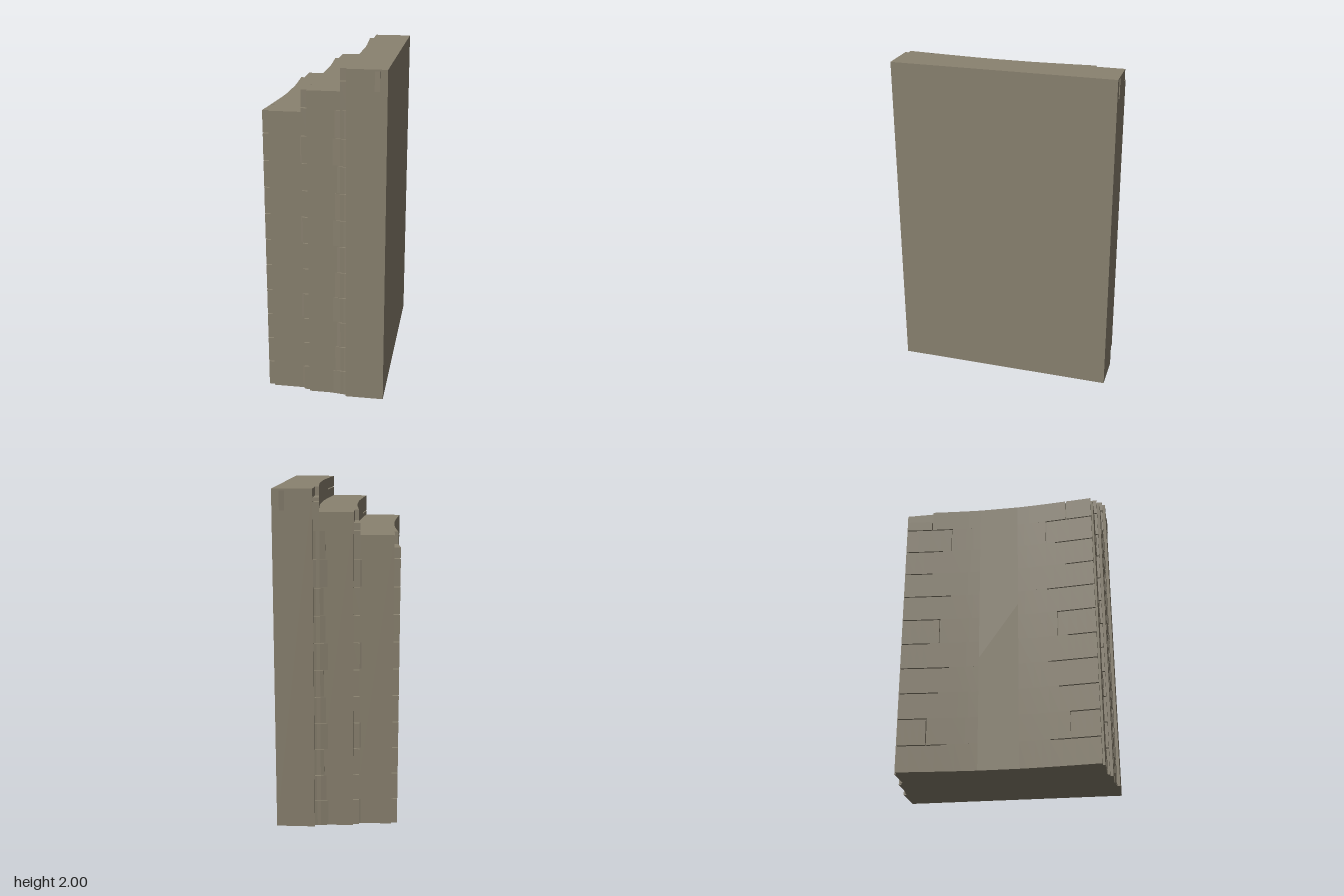
import * as THREE from 'three';

export function createModel() {
  const model = new THREE.Group();
  const stone = new THREE.MeshStandardMaterial({ color: 0x8a8270 });
  stone.name = 'weathered stone';

  const COURSE = 0.161, GAP = 0.006, CURVE_START = 0.12;

  const add = (parent, geometry, name) => {
    const mesh = new THREE.Mesh(geometry, stone);
    mesh.name = name;
    parent.add(mesh);
  };

  const box = (parent, name, x0, x1, y0, y1, z0, z1) => {
    const g = new THREE.BoxGeometry(x1 - x0, y1 - y0, z1 - z0);
    g.translate((x0 + x1) / 2, (y0 + y1) / 2, (z0 + z1) / 2);
    add(parent, g, name);
  };

  // Upright prism from an outline of [x, z] points
  const prism = (parent, name, points, y0, y1) => {
    const shape = new THREE.Shape(points.map(([x, z]) => new THREE.Vector2(x, -z)));
    const g = new THREE.ExtrudeGeometry(shape, { depth: y1 - y0, bevelEnabled: false });
    g.rotateX(-Math.PI / 2);
    g.translate(0, y0, 0);
    add(parent, g, name);
  };

  // x0, x1: slab sides; end: half length; curveEnd: reach of the curved bricks;
  // bulge: their thickness at the ends; split: where the low corner brick stops
  const steps = [
    { name: 'tallStep', x0: 0.13, x1: 0.357, top: 2, end: 0.67, curveEnd: 0.65, bulge: 0.036, split: 0.5, drop: 0.05 },
    { name: 'middleStep', x0: -0.097, x1: 0.13, top: 1.87, end: 0.64, curveEnd: 0.622, bulge: 0.036, split: 0.46, drop: 0.06 },
    { name: 'lowStep', x0: -0.325, x1: -0.097, top: 1.74, end: 0.605, curveEnd: 0.592, bulge: 0.036, split: 0.43, drop: 0.07 },
  ];

  steps.forEach((s, i) => {
    const group = new THREE.Group();
    group.name = s.name;
    model.add(group);
    box(group, 'slab', s.x0, s.x1, 0, s.top, -s.end, s.end);

    // Curved facing brick between two distances from the middle
    const brick = (side, a, b, y0, y1) => {
      const outline = [[s.x0 + 0.002, side * a]];
      for (let k = 0; k <= 4; k++) {
        const z = a + (b - a) * k / 4;
        const t = Math.max(0, (z - CURVE_START) / (s.curveEnd - CURVE_START));
        outline.push([s.x0 - s.bulge * Math.pow(t, 1.25), side * z]);
      }
      outline.push([s.x0 + 0.002, side * b]);
      prism(group, 'facingBrick', outline, y0, y1);
    };

    const courses = Math.ceil(s.top / COURSE - 0.3);
    for (const side of [-1, 1]) {
      for (let c = 0; c < courses; c++) {
        const last = c === courses - 1;
        const y0 = c * COURSE, y1 = last ? s.top : y0 + COURSE;
        const joint = last ? s.split : 0.3 + 0.06 * ((c * 2) % 3);
        const cornerTop = last && side < 0 ? s.top - s.drop : y1 - (last ? 0 : GAP);
        // The inner run is continuous; seams open only toward the corner
        brick(side, CURVE_START, joint, y0, y1);
        const vertical = last || c % 4 === 1 ? GAP : 0;
        brick(side, joint + vertical, s.curveEnd, y0, cornerTop);
      }
    }

    // Thin end bricks in the corner against the next taller step
    if (i > 0) {
      const reach = i === 1 ? 0.08 : 0.045;
      const rows = Math.floor(s.top / COURSE);
      for (const side of [-1, 1]) {
        for (let c = 0; c < rows; c++) {
          const w = reach - 0.012 * (c % 3);
          prism(group, 'cornerBrick', [
            [s.x1 - w, side * (s.end - 0.002)], [s.x1 - w, side * (s.end + 0.002)],
            [s.x1, side * (s.end + 0.012)], [s.x1, side * (s.end - 0.002)],
          ], c * COURSE, (c + 1) * COURSE - GAP);
        }
      }
    }
  });

  // Small raised chips near the top of the tallest step
  for (const side of [-1, 1]) {
    prism(model, 'raisedChip', [
      [0.28, side * 0.669], [0.315, side * 0.675], [0.315, side * 0.669],
    ], 1.88, 1.99);
  }
  return model;
}
